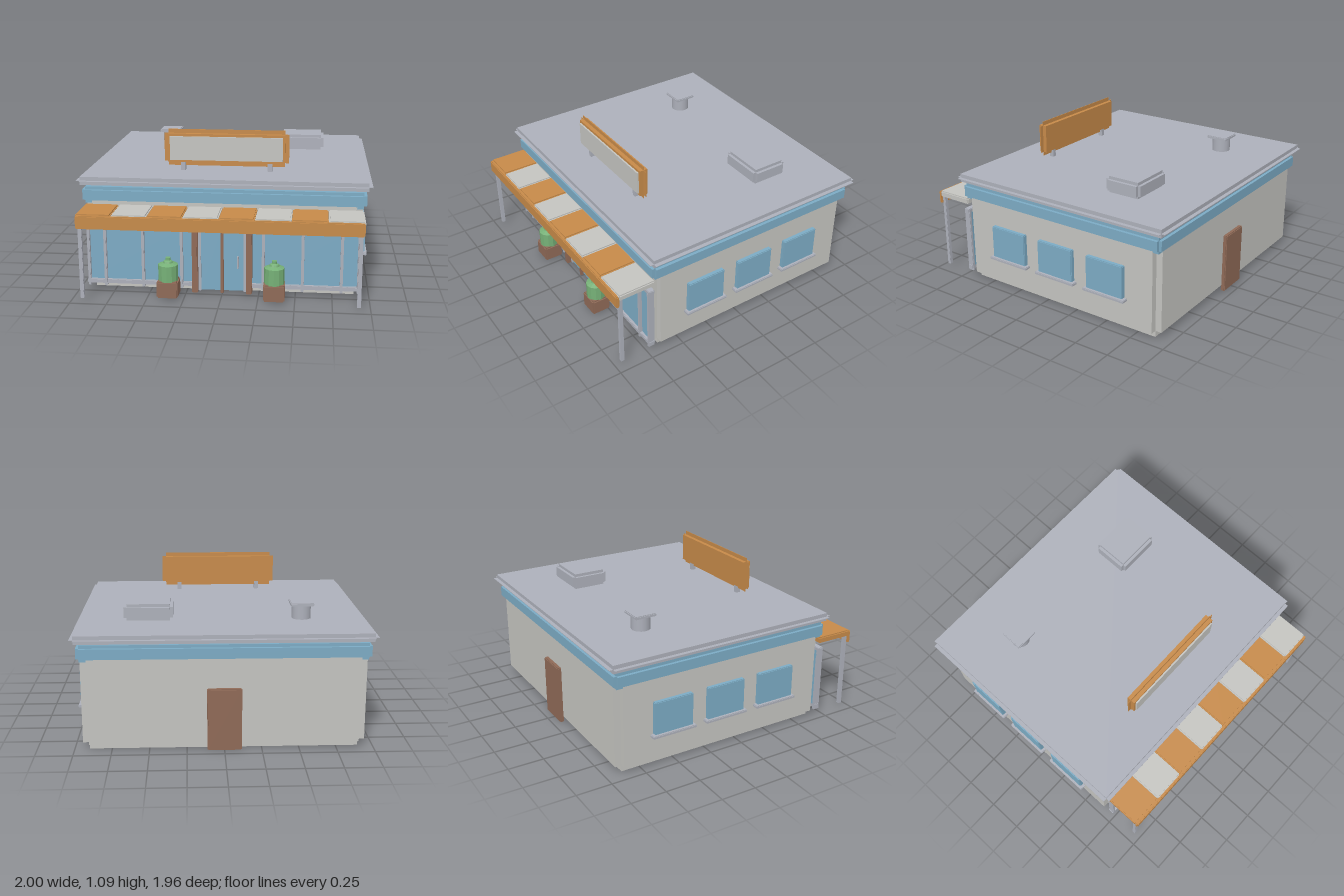
import * as THREE from 'three';
import { mergeGeometries } from 'three/addons/utils/BufferGeometryUtils.js';

const mat = (name, color) => {
  const m = new THREE.MeshStandardMaterial({ color });
  m.name = name;
  return m;
};

export function createModel() {
  const root = new THREE.Group();
  root.name = 'diner';
  const wall = mat('wall cream', 0xc4c4c0);
  const grey = mat('roof grey', 0xadb0ba);
  const blue = mat('glass blue', 0x7cabc4);
  const orange = mat('awning orange', 0xc68a49);
  const brown = mat('wood brown', 0x8f6a57);
  const green = mat('leaf green', 0x76b077);
  const dark = mat('dark lintel', 0x566674);

  const add = (name, geometry, material, parent = root) => {
    const mesh = new THREE.Mesh(geometry, material);
    mesh.name = name;
    parent.add(mesh);
    return mesh;
  };

  // Block with stepped edges: three crossed boxes, each full size along one axis
  const block = (name, material, [x0, x1], [y0, y1], [z0, z1], b = 0, parent = root) => {
    const size = [x1 - x0, y1 - y0, z1 - z0];
    const axes = b > 0 ? [0, 1, 2] : [0];
    const parts = axes.map((full) => {
      const s = size.map((v, i) => (b > 0 && i !== full ? Math.max(v - 2 * b, 0.002) : v));
      return new THREE.BoxGeometry(...s);
    });
    const g = mergeGeometries(parts);
    g.translate((x0 + x1) / 2, (y0 + y1) / 2, (z0 + z1) / 2);
    return add(name, g, material, parent);
  };
  const around = (c, h) => [c - h, c + h];
  const sym = (h) => [-h, h];

  // Main shell
  block('building', wall, sym(0.945), [0, 0.747], [-0.924, 0.693], 0.045);
  block('blueBand', blue, sym(0.965), [0.617, 0.73], [-0.943, 0.712], 0.021);
  block('roofSlab', grey, sym(1), [0.745, 0.802], [-0.984, 0.742], 0.0265);

  // Shop front glazing
  const front = new THREE.Group();
  front.name = 'shopFront';
  root.add(front);
  for (const s of [-1, 1]) {
    block('shopGlass', blue, s < 0 ? [-0.925, -0.2] : [0.2, 0.925], [0.07, 0.505], [0.69, 0.716], 0, front);
    for (const x of [0.925, 0.81, 0.547, 0.28]) {
      block('mullion', grey, around(s * x, 0.01), [0.035, 0.51], [0.69, 0.738], 0.003, front);
    }
    block('bottomRail', grey, s < 0 ? [-0.94, -0.2] : [0.2, 0.94], [0.05, 0.08], [0.69, 0.735], 0.004, front);
    block('topRail', grey, s < 0 ? [-0.94, -0.2] : [0.2, 0.94], [0.498, 0.525], [0.69, 0.735], 0.004, front);
  }

  // Entrance with double doors
  const entrance = new THREE.Group();
  entrance.name = 'entrance';
  root.add(entrance);
  for (const s of [-1, 1]) {
    block('doorPost', brown, around(s * 0.185, 0.02), [0.012, 0.53], [0.69, 0.763], 0.005, entrance);
    block('doorFrameSide', grey, around(s * 0.155, 0.01), [0.02, 0.46], [0.69, 0.733], 0.002, entrance);
    block('doorLeaf', blue, s < 0 ? [-0.147, -0.006] : [0.006, 0.147], [0.025, 0.455], [0.69, 0.724], 0, entrance);
  }
  block('doorHeader', brown, sym(0.2), [0.498, 0.53], [0.69, 0.76], 0.005, entrance);
  block('doorLintel', dark, sym(0.165), [0.455, 0.5], [0.69, 0.722], 0, entrance);
  block('centreStile', brown, sym(0.01), [0.012, 0.457], [0.69, 0.745], 0.002, entrance);
  block('doorHandle', grey, around(0.107, 0.006), [0.19, 0.275], [0.72, 0.745], 0.002, entrance);

  // Awning of alternating slats with a fascia and two posts
  const awning = new THREE.Group();
  awning.name = 'awning';
  root.add(awning);
  for (let i = 0; i < 8; i++) {
    const x = -0.83 + i * 0.2371;
    block('awningSlat', i % 2 ? wall : orange, around(x, 0.1175), [0.565, 0.61], [0.69, 0.962], 0.008, awning);
  }
  block('awningFascia', orange, sym(0.945), [0.513, 0.603], [0.955, 0.979], 0.006, awning);
  for (const s of [-1, 1]) {
    block('awningPost', grey, around(s * 0.922, 0.013), [0.022, 0.567], around(0.942, 0.013), 0.002, awning);
  }

  // Side windows with sills
  for (const s of [-1, 1]) {
    for (const z of [0.294, -0.115, -0.522]) {
      block('sideWindow', blue, around(s * 0.957, 0.018), [0.237, 0.47], around(z, 0.145), 0.005);
      block('windowSill', grey, around(s * 0.965, 0.025), [0.218, 0.238], around(z, 0.165), 0.004);
    }
  }

  // Back door
  block('backDoor', brown, sym(0.115), [0.005, 0.432], [-0.953, -0.92], 0.006);

  // Rooftop sign board
  const sign = new THREE.Group();
  sign.name = 'roofSign';
  root.add(sign);
  block('signFrame', orange, sym(0.435), [0.834, 1.09], [0.397, 0.457], 0.028, sign);
  block('signPanel', wall, sym(0.405), [0.865, 1.057], [0.43, 0.469], 0.013, sign);
  for (const s of [-1, 1]) {
    block('signLeg', grey, around(s * 0.303, 0.016), [0.8, 0.868], around(0.427, 0.017), 0.002, sign);
  }

  // Roof equipment
  block('roofUnit', grey, [0.338, 0.674], [0.8, 0.916], [-0.592, -0.321], 0.021);
  const pipe = add('ventPipe', new THREE.CylinderGeometry(0.066, 0.066, 0.105, 16), grey);
  pipe.position.set(-0.543, 0.852, -0.525);
  block('ventCap', grey, around(-0.543, 0.08), [0.898, 0.92], around(-0.525, 0.08), 0.005);

  // Planters with shrubs
  const shrub = [[0, 0.12], [0.068, 0.12], [0.068, 0.232], [0.034, 0.244], [0.03, 0.256], [0.018, 0.262], [0.018, 0.28], [0, 0.28]]
    .map(([r, y]) => new THREE.Vector2(r, y));
  const shrubGeometry = new THREE.LatheGeometry(shrub, 12).toNonIndexed();
  shrubGeometry.computeVertexNormals();
  for (const s of [-1, 1]) {
    block('planter', brown, around(s * 0.36, 0.072), [0.008, 0.124], around(0.81, 0.068), 0.009);
    add('shrub', shrubGeometry, green).position.set(s * 0.36, 0, 0.81);
  }
  return root;
}
